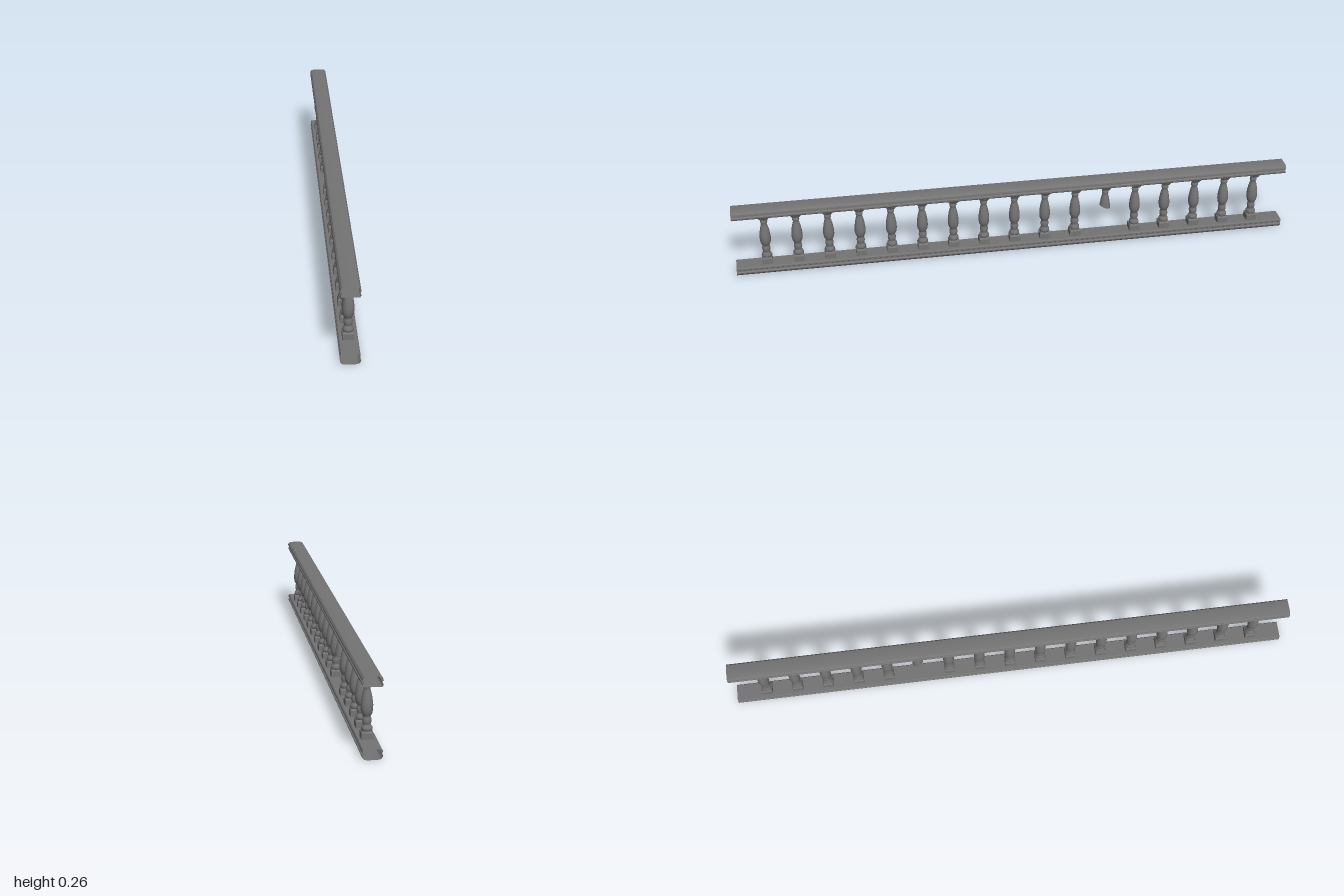
import * as THREE from 'three';
import { mergeVertices, toCreasedNormals } from 'three/addons/utils/BufferGeometryUtils.js';

const stone = new THREE.MeshStandardMaterial({ color: 0x747474, side: THREE.DoubleSide });
stone.name = 'grey stone';

const SPACING = 0.1112, COUNT = 17, BROKEN = 11;

function add(parent, geometry, name) {
  const mesh = new THREE.Mesh(geometry, stone);
  mesh.name = name;
  parent.add(mesh);
  return mesh;
}

// Open-ended moulding: a closed profile (counter-clockwise from +z) swept along z
function moulding(profile) {
  const p = [];
  profile.forEach(([ax, ay], i) => {
    const [bx, by] = profile[(i + 1) % profile.length];
    p.push(ax, ay, 1, ax, ay, -1, bx, by, -1, ax, ay, 1, bx, by, -1, bx, by, 1);
  });
  const g = new THREE.BufferGeometry();
  g.setAttribute('position', new THREE.Float32BufferAttribute(p, 3));
  g.computeVertexNormals();
  return toCreasedNormals(mergeVertices(g), 0.4);
}

// Half of the handrail profile, from bottom to rounded top
const half = [
  [0.028, 0], [0.031, 0.004], [0.031, 0.009], [0.027, 0.012],
  [0.027, 0.016], [0.032, 0.019], [0.031, 0.024], [0.026, 0.03], [0.016, 0.032],
];
const railProfile = [...half, ...half.map(([x, y]) => [-x, y]).reverse()];

// Baluster outline as [radius, height]
const turned = [
  [0.013, 0.056], [0.016, 0.058], [0.0178, 0.063], [0.017, 0.069], [0.013, 0.075],
  [0.0115, 0.078], [0.0135, 0.082], [0.0148, 0.09], [0.0135, 0.098], [0.011, 0.103],
  [0.014, 0.107], [0.0175, 0.115], [0.0195, 0.126], [0.0195, 0.139],
  [0.0182, 0.152], [0.0158, 0.168], [0.0125, 0.182], [0.0095, 0.192],
  [0.012, 0.195], [0.0128, 0.2], [0.012, 0.205], [0.0095, 0.207], [0.011, 0.212],
];

function lathe(points) {
  return new THREE.LatheGeometry(points.map(([r, y]) => new THREE.Vector2(r, y)), 16);
}

// Square tapered block between two heights
function squareBlock(bottomHalf, topHalf, y0, y1) {
  const g = new THREE.CylinderGeometry(topHalf * Math.SQRT2, bottomHalf * Math.SQRT2, y1 - y0, 4, 1);
  g.rotateY(Math.PI / 4).translate(0, (y0 + y1) / 2, 0);
  return toCreasedNormals(g, 0.3);
}

const plinth = squareBlock(0.019, 0.019, 0.033, 0.053);
const plinthSlope = squareBlock(0.019, 0.015, 0.053, 0.058);
const capitalFlare = squareBlock(0.012, 0.0185, 0.21, 0.222);
const abacus = squareBlock(0.019, 0.019, 0.222, 0.229);
const shaft = lathe(turned);

// Snapped shaft: the lowest ring is sheared, then closed by a slanted face
const BREAK = 0.139;
const brokenShaft = lathe(turned.filter(([, y]) => y >= BREAK));
const pos = brokenShaft.attributes.position;
for (let i = 0; i < pos.count; i++) {
  if (pos.getY(i) < BREAK + 0.001) pos.setY(i, pos.getY(i) + pos.getZ(i) * 0.38);
}
brokenShaft.computeVertexNormals();
const breakFace = new THREE.CircleGeometry(0.0195, 16).rotateX(Math.PI / 2);
const facePos = breakFace.attributes.position;
for (let i = 0; i < facePos.count; i++) facePos.setY(i, BREAK + facePos.getZ(i) * 0.38);
breakFace.computeVertexNormals();

export function createModel() {
  const model = new THREE.Group();
  model.name = 'balustrade';

  // Rails: the lower one is the handrail profile upside down
  add(model, moulding(railProfile.map(([x, y]) => [x, y + 0.228])), 'handrail');
  add(model, moulding(railProfile.map(([x, y]) => [x, 0.033 - y * 1.03]).reverse()), 'bottomRail');

  // Row of balusters, one of them snapped off
  for (let i = 0; i < COUNT; i++) {
    const baluster = new THREE.Group();
    const broken = i === BROKEN;
    baluster.name = broken ? 'brokenBaluster' : 'baluster';
    baluster.position.z = ((COUNT - 1) / 2 - i) * SPACING;
    add(baluster, capitalFlare, 'capitalFlare');
    add(baluster, abacus, 'abacus');
    if (broken) {
      add(baluster, brokenShaft, 'brokenShaft');
      add(baluster, breakFace, 'breakFace');
    } else {
      add(baluster, plinth, 'plinth');
      add(baluster, plinthSlope, 'plinthSlope');
      add(baluster, shaft, 'shaft');
    }
    model.add(baluster);
  }
  return model;
}
